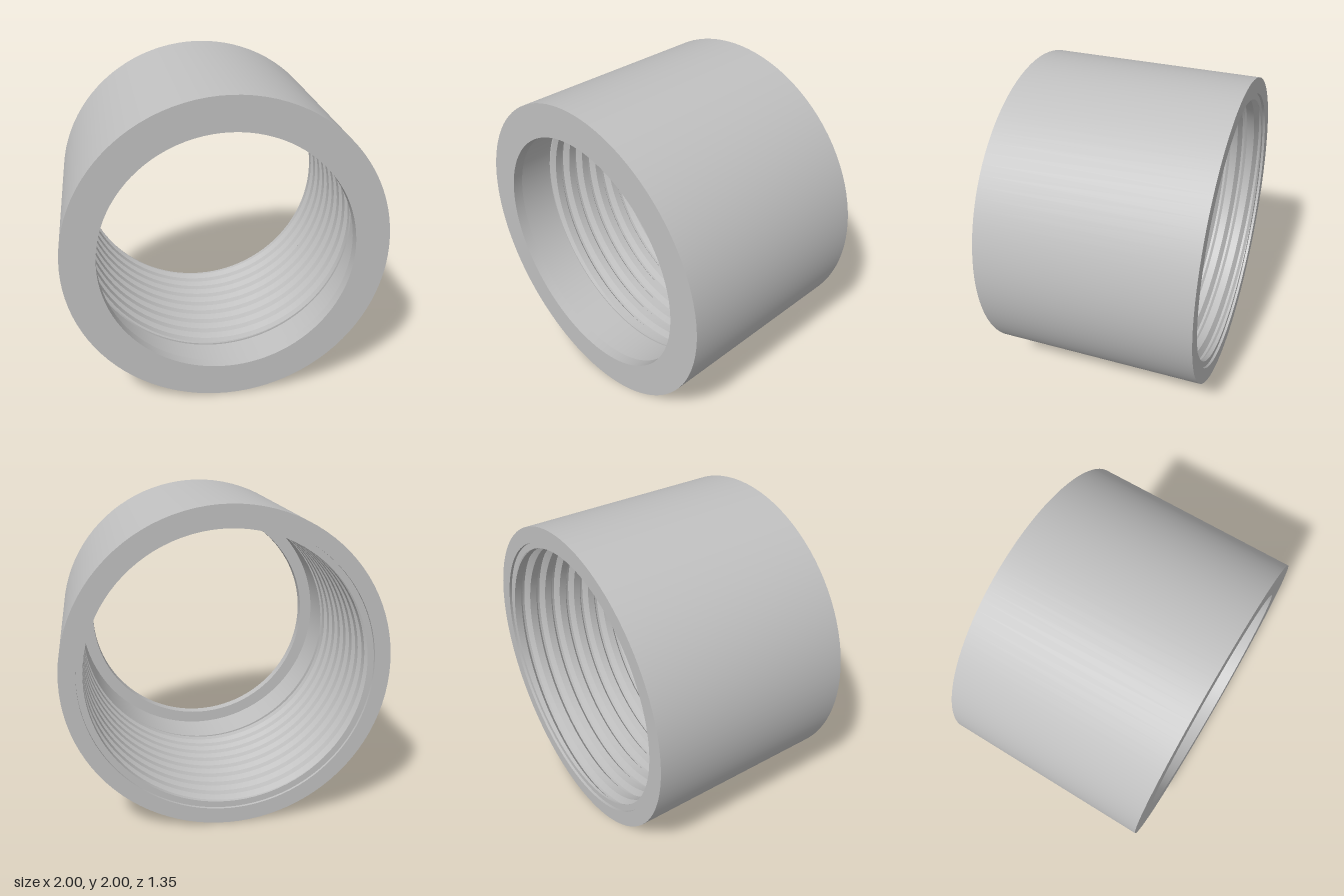
import * as THREE from 'three';
import { toCreasedNormals } from 'three/addons/utils/BufferGeometryUtils.js';

const SEGMENTS = 96;
const HALF = 0.677;        // half the length along z
const CREST = 0.86;        // inner radius of the thread
const ROOT = 0.9;          // outer radius of the thread
const THREAD_BACK = -0.66;
const THREAD_FRONT = 0.32;
const PITCH = 0.118;

// Helical strip of a trapezoid profile, trimmed at both ends
function threadGeometry() {
  const profile = [[0, CREST], [0.05, CREST], [0.076, ROOT], [0.092, ROOT], [PITCH, CREST]];
  const turns = Math.ceil((THREAD_FRONT - THREAD_BACK) / PITCH) + 1;
  const positions = [];
  const index = [];
  const row = profile.length;
  const steps = turns * SEGMENTS;
  for (let i = 0; i <= steps; i++) {
    const angle = (i / SEGMENTS) * Math.PI * 2;
    const start = THREAD_BACK - PITCH + (PITCH * i) / SEGMENTS;
    for (const [offset, radius] of profile) {
      const z = THREE.MathUtils.clamp(start + offset, THREAD_BACK, THREAD_FRONT);
      positions.push(radius * Math.cos(angle), radius * Math.sin(angle), z);
    }
  }
  const zOf = (v) => positions[v * 3 + 2];
  const addFace = (a, b, c) => {
    // leave out faces trimmed away entirely
    if (zOf(a) === zOf(b) && zOf(b) === zOf(c)) return;
    index.push(a, b, c);
  };
  for (let i = 0; i < steps; i++) {
    for (let j = 0; j < row - 1; j++) {
      const a = i * row + j;
      const b = a + row;
      addFace(a, a + 1, b);
      addFace(b, a + 1, b + 1);
    }
  }
  const geometry = new THREE.BufferGeometry();
  geometry.setAttribute('position', new THREE.Float32BufferAttribute(positions, 3));
  geometry.setIndex(index);
  return toCreasedNormals(geometry, 0.5);
}

// Outer wall, end faces, front lip and smooth relief behind the lip
function bodyGeometry() {
  const profile = [
    [CREST, THREAD_BACK], [ROOT, THREAD_BACK], [ROOT, -HALF], [1, -HALF],
    [1, HALF], [0.787, HALF], [0.787, 0.61], [0.87, 0.61],
    [0.87, THREAD_FRONT], [ROOT, THREAD_FRONT], [CREST, THREAD_FRONT],
  ].map(([r, z]) => new THREE.Vector2(r, z));
  const geometry = new THREE.LatheGeometry(profile, SEGMENTS);
  geometry.rotateX(Math.PI / 2);
  return toCreasedNormals(geometry, 0.5);
}

export function createModel() {
  const metal = new THREE.MeshStandardMaterial({ color: 0xc0c0c0, side: THREE.DoubleSide });
  metal.name = 'grey metal';

  const model = new THREE.Group();
  model.name = 'threadedCollar';
  const parts = { collarBody: bodyGeometry(), internalThread: threadGeometry() };
  for (const [name, geometry] of Object.entries(parts)) {
    const mesh = new THREE.Mesh(geometry, metal);
    mesh.name = name;
    mesh.position.y = 1;
    model.add(mesh);
  }
  return model;
}
